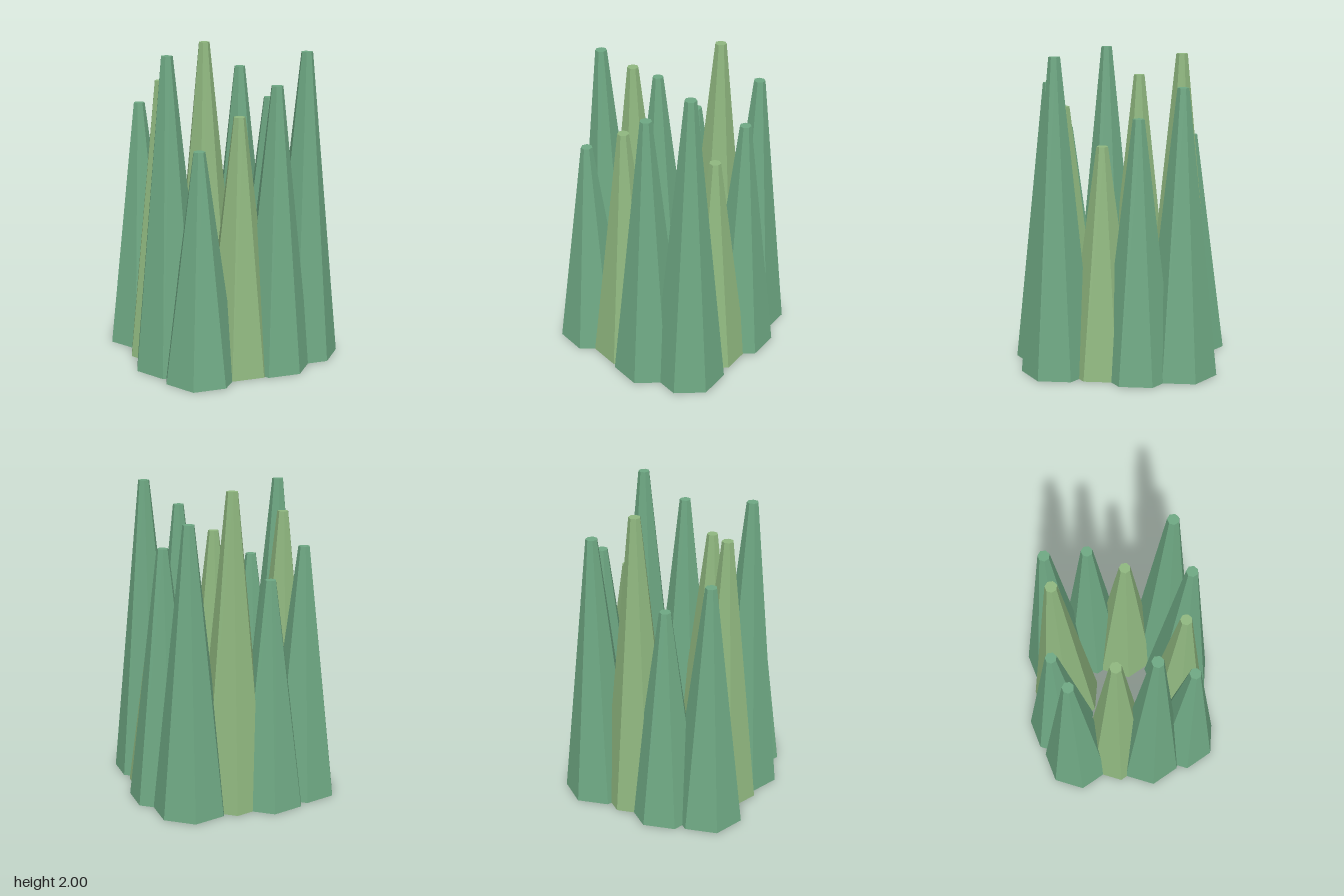
import * as THREE from 'three';

export function createModel() {
  const group = new THREE.Group();
  group.name = 'spireCluster';
  const jade = new THREE.MeshStandardMaterial({ color: 0x6ea883, flatShading: true });
  jade.name = 'jade green';
  const moss = new THREE.MeshStandardMaterial({ color: 0x8fb77f, flatShading: true });
  moss.name = 'moss green';

  // Ring distance repeats every three spires, height every four
  const distances = [0.396, 0.55, 0.472];
  const heights = [1.455, 2, 1.818, 1.636];

  // Twelve tapered seven-sided spires, each with a corner towards the back
  for (let i = 0; i < 12; i++) {
    const angle = (i * Math.PI) / 6;
    const distance = distances[i % 3];
    const height = heights[i % 4];
    const spire = new THREE.Mesh(
      new THREE.CylinderGeometry(0.037, 0.24, height, 7),
      i % 3 === 0 ? moss : jade
    );
    spire.name = `spire${i + 1}`;
    spire.rotation.y = Math.PI;
    spire.position.set(Math.cos(angle) * distance, height / 2, Math.sin(angle) * distance + 0.012);
    group.add(spire);
  }
  return group;
}
